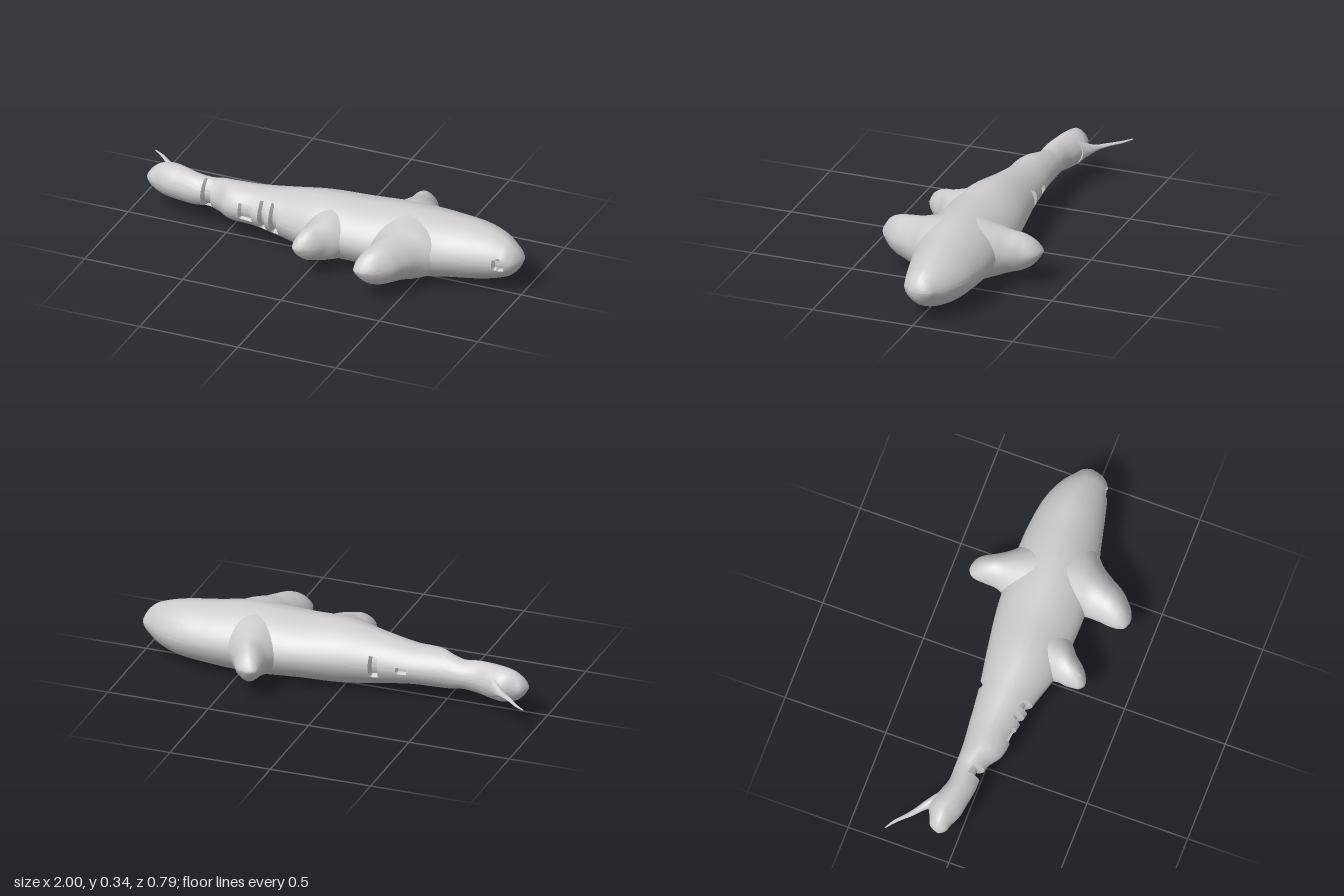
import * as THREE from 'three';
import { toCreasedNormals } from 'three/addons/utils/BufferGeometryUtils.js';

const MID = 0.17; // height of the symmetry plane

// Loft pointed-oval rings along x or z. Rows: [position, sideMin, sideMax, halfHeight]
function loft(axis, rows, steps, sides, carve) {
  const curve = new THREE.CubicInterpolant(rows.map(r => r[0]), rows.flatMap(r => r.slice(1)), 3);
  const t0 = rows[0][0], t1 = rows[rows.length - 1][0];
  const pos = [], index = [];
  const soft = v => Math.sign(v) * Math.pow(Math.abs(v), 1.15);
  for (let i = 0; i <= steps; i++) {
    const t = t0 + (t1 - t0) * i / steps;
    const [a, b, h] = curve.evaluate(t);
    for (let j = 0; j < sides; j++) {
      const ang = j / sides * Math.PI * 2;
      const y = Math.max(h, 0.001) * soft(Math.sin(ang));
      let s = (a + b) / 2 + (b - a) / 2 * soft(Math.cos(ang));
      if (carve) s += carve(t, y, Math.cos(ang));
      if (axis === 'x') pos.push(t, MID + y, s);
      else pos.push(s, MID + y, t);
    }
  }
  const tri = (a, b, c) => (axis === 'x' ? index.push(a, b, c) : index.push(a, c, b));
  for (let i = 0; i < steps; i++) {
    for (let j = 0; j < sides; j++) {
      const k = (j + 1) % sides, p = i * sides, q = p + sides;
      tri(p + j, q + j, p + k);
      tri(q + j, q + k, p + k);
    }
  }
  // close both ends
  const last = steps * sides;
  for (let j = 1; j < sides - 1; j++) {
    tri(0, j, j + 1);
    tri(last, last + j + 1, last + j);
  }
  const geo = new THREE.BufferGeometry();
  geo.setAttribute('position', new THREE.Float32BufferAttribute(pos, 3));
  geo.setIndex(index);
  return toCreasedNormals(geo, 0.7);
}

// Slits cut into the flanks: [x, halfWidth, halfHeight, depth, side]
const slits = [
  [-0.6, 0.02, 0.07, 0.03, 1],
  [-0.37, 0.03, 0.04, 0.02, 1],
  [-0.285, 0.017, 0.07, 0.03, 1],
  [-0.22, 0.017, 0.07, 0.03, 1],
  [0.91, 0.02, 0.025, 0.02, 1],
  [-0.185, 0.015, 0.05, 0.03, -1],
  [-0.32, 0.025, 0.015, 0.02, -1],
];
function carveSlits(x, y, c) {
  for (const [cx, w, h, depth, side] of slits) {
    if (c * side > 0 && Math.abs(x - cx) < w && Math.abs(y) < h) return -side * depth;
  }
  return 0;
}

export function createModel() {
  const group = new THREE.Group();
  const skin = new THREE.MeshStandardMaterial({ color: 0xcccccc });
  skin.name = 'grey skin';
  const add = (name, geo) => {
    const mesh = new THREE.Mesh(geo, skin);
    mesh.name = name;
    group.add(mesh);
  };

  // long body, tail end first
  add('body', loft('x', [
    [-0.935, -0.09, -0.07, 0.01], [-0.92, -0.12, -0.05, 0.035], [-0.88, -0.14, -0.035, 0.07],
    [-0.82, -0.165, -0.01, 0.085], [-0.76, -0.15, 0.0, 0.086], [-0.68, -0.122, 0.012, 0.08],
    [-0.6, -0.12, 0.015, 0.073], [-0.54, -0.12, 0.028, 0.085], [-0.48, -0.122, 0.068, 0.095],
    [-0.35, -0.135, 0.085, 0.1], [-0.2, -0.15, 0.115, 0.123], [0, -0.182, 0.17, 0.155],
    [0.2, -0.21, 0.185, 0.157], [0.4, -0.222, 0.185, 0.168], [0.5, -0.222, 0.178, 0.167],
    [0.65, -0.215, 0.14, 0.152], [0.8, -0.19, 0.105, 0.134], [0.9, -0.145, 0.078, 0.105],
    [0.95, -0.105, 0.06, 0.077], [0.985, -0.075, 0.02, 0.038], [0.998, -0.05, -0.02, 0.008],
  ], 220, 64, carveSlits));

  // fins, each lofted across the body
  add('leftFrontFin', loft('z', [
    [0.02, 0.2, 0.7, 0.16], [0.12, 0.27, 0.64, 0.14], [0.18, 0.305, 0.57, 0.122],
    [0.25, 0.308, 0.52, 0.108], [0.31, 0.302, 0.485, 0.092], [0.36, 0.306, 0.435, 0.06],
    [0.385, 0.32, 0.4, 0.024], [0.395, 0.345, 0.37, 0.005],
  ], 40, 32));
  add('rightFrontFin', loft('z', [
    [-0.397, 0.335, 0.365, 0.005], [-0.385, 0.315, 0.395, 0.025], [-0.36, 0.303, 0.42, 0.058],
    [-0.31, 0.3, 0.446, 0.09], [-0.25, 0.295, 0.485, 0.105], [-0.2, 0.275, 0.53, 0.122],
    [-0.12, 0.24, 0.6, 0.146], [-0.02, 0.2, 0.65, 0.16],
  ], 40, 32));
  add('leftRearFin', loft('z', [
    [0.02, -0.12, 0.26, 0.14], [0.12, -0.06, 0.21, 0.118], [0.18, -0.04, 0.16, 0.1],
    [0.22, -0.045, 0.11, 0.087], [0.26, -0.043, 0.075, 0.068], [0.29, -0.038, 0.04, 0.038],
    [0.307, -0.02, 0.005, 0.005],
  ], 36, 32));

  // thin trailing tail fin
  add('tailFin', loft('x', [
    [-1, -0.32, -0.314, 0.003], [-0.95, -0.293, -0.272, 0.006], [-0.9, -0.25, -0.218, 0.008],
    [-0.85, -0.214, -0.172, 0.014], [-0.82, -0.196, -0.135, 0.028], [-0.77, -0.16, -0.08, 0.06],
  ], 24, 20));

  return group;
}
